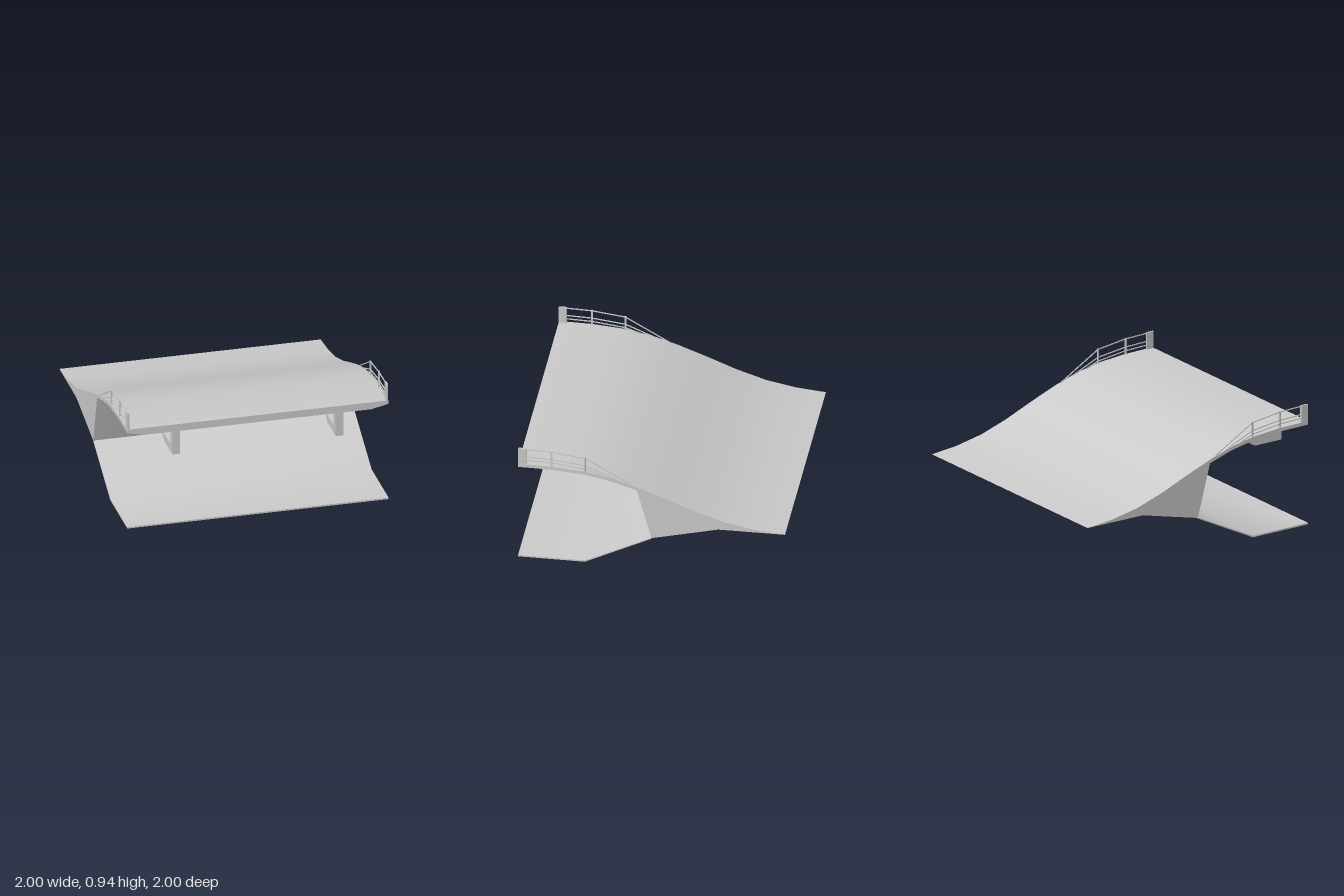
import * as THREE from 'three';
import { toCreasedNormals } from 'three/addons/utils/BufferGeometryUtils.js';

const grey = new THREE.MeshStandardMaterial({ color: 0xcccccc });

function add(parent, name, geometry) {
  const mesh = new THREE.Mesh(geometry, grey);
  mesh.name = name;
  parent.add(mesh);
  return mesh;
}

// Side outline given as [z, y], extruded along x and centred on cx
function slab(points, width, cx = 0, holes = []) {
  const toVec = ([z, y]) => new THREE.Vector2(-z, y);
  const shape = new THREE.Shape(points.map(toVec));
  holes.forEach(h => shape.holes.push(new THREE.Path(h.map(toVec))));
  return new THREE.ExtrudeGeometry(shape, { depth: width, bevelEnabled: false })
    .rotateY(Math.PI / 2).translate(cx - width / 2, 0, 0);
}

// Skin between side outlines [z, y] placed at several x stations, with end caps
function loftAlongX(stations, crease) {
  const pos = [];
  const put = (s, j) => pos.push(s.x, s.outline[j][1], s.outline[j][0]);
  const n = stations[0].outline.length;
  for (let i = 0; i < stations.length - 1; i++) {
    const a = stations[i], b = stations[i + 1];
    for (let j = 0; j < n; j++) {
      const k = (j + 1) % n;
      put(a, j); put(a, k); put(b, k);
      put(a, j); put(b, k); put(b, j);
    }
  }
  const first = stations[0], last = stations[stations.length - 1];
  const flat = last.outline.map(([z, y]) => new THREE.Vector2(-z, y));
  for (const [a, b, c] of THREE.ShapeUtils.triangulateShape(flat, [])) {
    put(last, a); put(last, b); put(last, c);
  }
  const flat0 = first.outline.map(([z, y]) => new THREE.Vector2(-z, y));
  for (const [a, b, c] of THREE.ShapeUtils.triangulateShape(flat0, [])) {
    put(first, a); put(first, c); put(first, b);
  }
  const geo = new THREE.BufferGeometry();
  geo.setAttribute('position', new THREE.Float32BufferAttribute(pos, 3));
  return toCreasedNormals(geo, crease);
}

// Square bar between two points
function bar(a, b, size) {
  const from = new THREE.Vector3(...a), to = new THREE.Vector3(...b);
  const geo = new THREE.BoxGeometry(size, size, from.distanceTo(to));
  const m = new THREE.Matrix4().lookAt(to, from, new THREE.Vector3(0, 1, 0));
  m.setPosition(from.add(to).multiplyScalar(0.5));
  return geo.applyMatrix4(m);
}

export function createModel() {
  const model = new THREE.Group();
  model.name = 'rampBridge';

  // Curved deck and its wedge-shaped abutment; the underside is chamfered at the edges
  const front = [[1, 0.812], [0.75, 0.81], [0.5, 0.79], [0.3, 0.75], [0.11, 0.69]];
  const back = [[-0.1, 0.61], [-0.33, 0.517], [-0.55, 0.445], [-0.78, 0.4], [-1, 0.38]];
  const outline = (drop, shift) => [
    ...front.map(([z, y], i) => [i === 4 ? z + shift : z, y - drop]),
    [0, 0.255], [-0.5, 0.378],
    ...[...front, ...back].reverse()
  ];
  const edge = outline(0.028, 0), inner = outline(0.057, 0.007);
  add(model, 'deckAndAbutment', loftAlongX([
    { x: -1, outline: edge }, { x: -0.87, outline: inner },
    { x: 0.87, outline: inner }, { x: 1, outline: edge }
  ], 0.2));

  // Thin lower apron rising to the foot of the abutment
  add(model, 'lowerApron', toCreasedNormals(slab(
    [[1, 0], [0.5, 0], [0, 0.25], [0, 0.258], [0.5, 0.012], [1, 0.012]], 2), 0.6));

  for (const side of [-1, 1]) {
    // Hanging bracket under the deck
    const bracket = new THREE.Group();
    bracket.name = side > 0 ? 'leftBracket' : 'rightBracket';
    add(bracket, 'bracketFrame', slab([
      [1, 0.76], [1, 0.567], [0.76, 0.567], [0.48, 0.735], [0.58, 0.735],
      [0.742, 0.628], [0.94, 0.628], [0.94, 0.76]
    ], 0.06, side * 0.625));
    add(bracket, 'bracketPlate', slab([
      [0.96, 0.765], [0.96, 0.69], [0.33, 0.69], [0.33, 0.71], [0.5, 0.745], [0.75, 0.765]
    ], 0.03, side * 0.625));
    model.add(bracket);

    // Railing along the raised end of the deck
    const railing = new THREE.Group();
    railing.name = side > 0 ? 'leftRailing' : 'rightRailing';
    const x = side * 0.99;
    add(railing, 'endPost', new THREE.BoxGeometry(0.014, 0.14, 0.06))
      .position.set(x, 0.873, 0.97);
    for (const [z, base, top] of [[0.75, 0.8, 0.937], [0.5, 0.78, 0.906]]) {
      add(railing, 'railPost', new THREE.BoxGeometry(0.012, top - base, 0.013))
        .position.set(x, (top + base) / 2, z);
    }
    const rails = [
      [[0.95, 0.936], [0.75, 0.931], [0.5, 0.9], [0.13, 0.688]],
      [[0.95, 0.872], [0.75, 0.867], [0.5, 0.837], [0.14, 0.685]],
      [[0.95, 0.843], [0.75, 0.838], [0.5, 0.807], [0.15, 0.682]]
    ];
    for (const path of rails) {
      for (let i = 0; i < path.length - 1; i++) {
        add(railing, 'rail', bar([x, path[i][1], path[i][0]], [x, path[i + 1][1], path[i + 1][0]], 0.007));
      }
    }
    model.add(railing);
  }
  return model;
}
